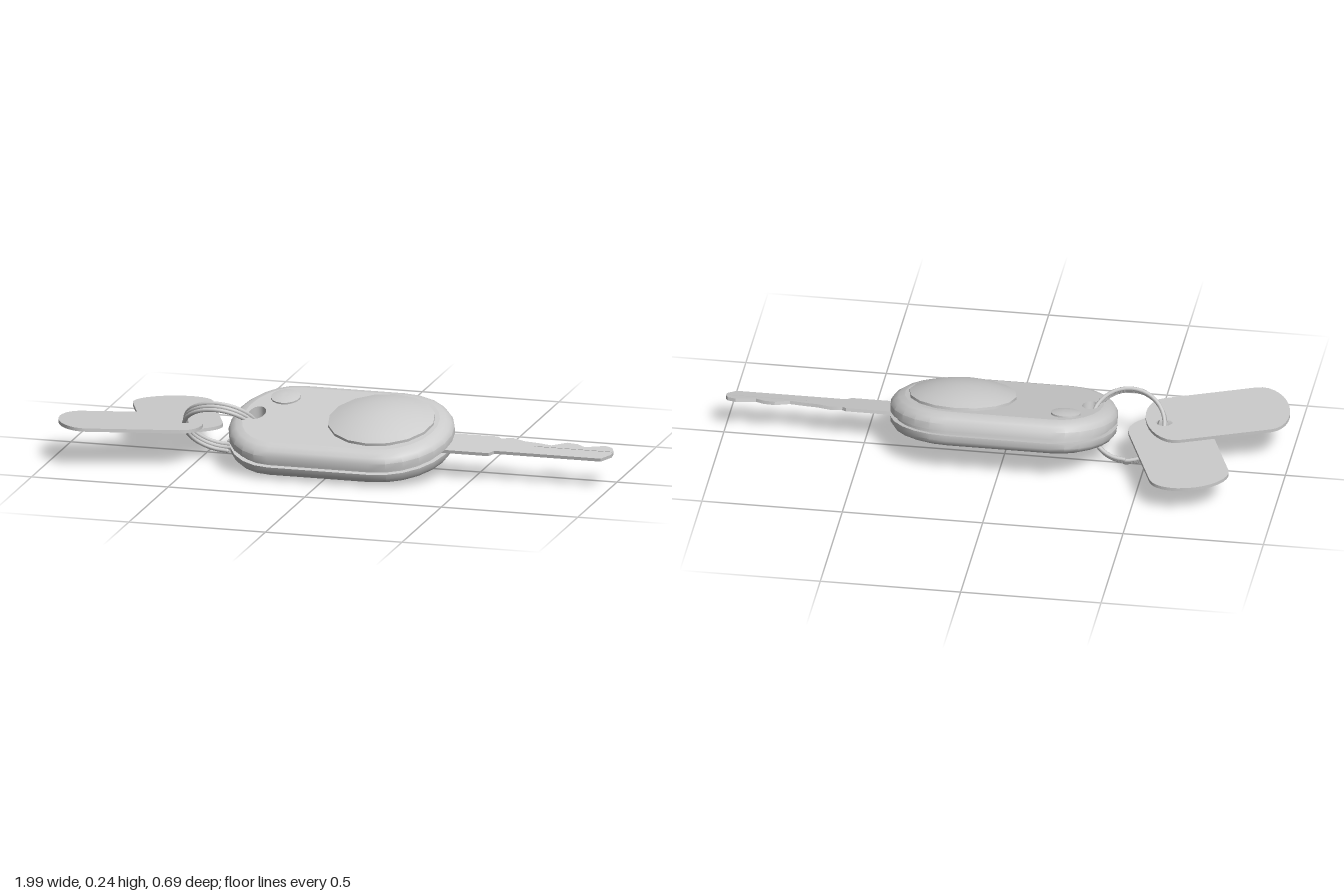
import * as THREE from 'three';
import { toCreasedNormals } from 'three/addons/utils/BufferGeometryUtils.js';

const material = new THREE.MeshStandardMaterial({ color: 0xcccccc });

function addMesh(parent, name, geometry) {
  const mesh = new THREE.Mesh(geometry, material);
  mesh.name = name;
  parent.add(mesh);
  return mesh;
}

// Closed oblong in plan: a straight middle with two half-ellipse ends, as [x, z] points
function oblong(xLeft, rxLeft, xRight, rxRight, rz, n) {
  const points = [];
  for (const [cx, rx, start] of [[xRight, rxRight, -0.5], [xLeft, rxLeft, 0.5]]) {
    for (let i = 0; i <= n; i++) {
      const a = Math.PI * (start + i / n);
      points.push([cx + rx * Math.cos(a), rz * Math.sin(a)]);
    }
  }
  return points;
}

// Wall through a stack of loops; faces outward when the loops rise, inward when they fall
function loft(loops) {
  const pos = [];
  for (let i = 0; i + 1 < loops.length; i++) {
    const lo = loops[i], up = loops[i + 1], n = lo.points.length;
    const at = (loop, j) => [loop.points[j % n][0], loop.y, loop.points[j % n][1]];
    for (let j = 0; j < n; j++) {
      pos.push(...at(lo, j), ...at(up, j), ...at(lo, j + 1));
      pos.push(...at(lo, j + 1), ...at(up, j), ...at(up, j + 1));
    }
  }
  const geometry = new THREE.BufferGeometry();
  geometry.setAttribute('position', new THREE.Float32BufferAttribute(pos, 3));
  return toCreasedNormals(geometry, 0.6);
}

const toShape = (points) => new THREE.Shape(points.map(([x, z]) => new THREE.Vector2(x, -z)));

// Flat plate lying in the xz plane, centred on its thickness
function plate(shape, thickness) {
  const geometry = new THREE.ExtrudeGeometry(shape, { depth: thickness, bevelEnabled: false, curveSegments: 16 });
  geometry.rotateX(-Math.PI / 2).translate(0, -thickness / 2, 0);
  return toCreasedNormals(geometry, 0.6);
}

// Fob shell: two rounded halves parted by a recessed seam, with a slot for the ring
function addFobBody(fob) {
  const profile = [ // [inset, height]
    [0.04, -0.06], [0.014, -0.05], [0.002, -0.034], [0, -0.014], [0.018, -0.014], [0.018, 0.003],
    [0, 0.003], [0, 0.028], [0.011, 0.045], [0.028, 0.056], [0.05, 0.061],
  ];
  const outline = (d) => oblong(-0.19, 0.2 - d, 0.18, 0.235 - d, 0.26 - d, 12);
  addMesh(fob, 'fobShell', loft(profile.map(([d, y]) => ({ points: outline(d), y }))));

  const slot = Array.from({ length: 20 }, (_, i) => {
    const a = (i / 20) * Math.PI * 2;
    return [-0.295 + 0.03 * Math.cos(a), 0.048 * Math.sin(a)];
  });
  for (const [name, [d, y], turn] of [['topFace', profile.at(-1), -1], ['bottomFace', profile[0], 1]]) {
    const shape = toShape(outline(d));
    shape.holes.push(toShape(slot));
    addMesh(fob, name, new THREE.ShapeGeometry(shape).rotateX(turn * Math.PI / 2).translate(0, y, 0));
  }
  addMesh(fob, 'ringSlot', loft([{ points: slot, y: 0.061 }, { points: slot, y: -0.06 }]));
}

// Shallow domed button with a low upright rim
function addButton(fob, name, radius, rim, height, x, z, sides) {
  const profile = [new THREE.Vector2(radius, -0.01), new THREE.Vector2(radius, rim)];
  for (let i = 1; i <= 6; i++) {
    const t = 1 - i / 6;
    profile.push(new THREE.Vector2(radius * t, rim + (height - rim) * (1 - t * t)));
  }
  const geometry = toCreasedNormals(new THREE.LatheGeometry(profile, sides), 0.5);
  addMesh(fob, name, geometry).position.set(x, 0.061, z);
}

// Key blade with a shoulder and cuts along one edge
function addKey(fob) {
  const edge = [
    [0.3, 0.125], [0.565, 0.125], [0.58, 0.105], [0.97, 0.105], [1, 0.07], [1, 0.045], [0.99, 0.022],
    [0.96, 0.01], [0.93, 0.02], [0.89, 0.03], [0.86, 0.013], [0.82, 0.008], [0.77, 0.035], [0.72, 0.026],
    [0.67, 0.02], [0.62, 0.003], [0.58, 0.012], [0.565, 0], [0.3, 0],
  ].map(([x, z]) => [x, (z - 0.064) / 0.974]);
  addMesh(fob, 'keyBlade', plate(toShape(edge), 0.012)).position.y = -0.005;
  addMesh(fob, 'bladeRib', new THREE.BoxGeometry(0.285, 0.015, 0.005)).position.set(0.855, -0.005, -0.014);
}

// Thin tag with rounded ends and a hole for the ring
function addTag(parent, name, position, rotation) {
  const shape = toShape(oblong(-0.165, 0.09, 0.165, 0.09, 0.1425, 14));
  const hole = new THREE.Path();
  hole.absarc(0.192, 0.008, 0.032, 0, Math.PI * 2, true);
  shape.holes.push(hole);
  const tag = addMesh(parent, name, plate(shape, 0.012));
  tag.position.set(...position);
  tag.rotation.set(...rotation);
}

// Split ring: a tight coil of three turns, leaning over
function addRing(parent) {
  const turns = 3, radius = 0.13, points = [];
  for (let i = 0; i <= turns * 24; i++) {
    const t = i / 24, a = t * Math.PI * 2;
    points.push(new THREE.Vector3(radius * Math.sin(a), -radius * Math.cos(a), (t - turns / 2) * 0.0135));
  }
  const ring = new THREE.Group();
  ring.name = 'keyRing';
  const curve = new THREE.CatmullRomCurve3(points);
  addMesh(ring, 'ringCoil', new THREE.TubeGeometry(curve, 120, 0.0075, 8, false));
  points.slice(0, 1).concat(points.slice(-1)).forEach((p) => {
    addMesh(ring, 'coilEnd', new THREE.SphereGeometry(0.0075, 8, 6)).position.copy(p);
  });
  ring.position.set(-0.43, 0.115, 0.067);
  ring.rotation.x = 0.76;
  parent.add(ring);
}

export function createModel() {
  const model = new THREE.Group();
  model.name = 'carKey';

  const fob = new THREE.Group();
  fob.name = 'fob';
  addFobBody(fob);
  addButton(fob, 'largeButton', 0.19, 0.01, 0.048, 0.16, -0.003, 16);
  addButton(fob, 'smallButton', 0.053, 0.006, 0.012, -0.225, -0.127, 16);
  addKey(fob);
  fob.position.set(0, 0.118, 0.064);
  fob.rotation.x = 0.227;
  model.add(fob);

  addRing(model);
  addTag(model, 'frontTag', [-0.735, 0.131, 0.158], [-0.04, 0.331, -0.02]);
  addTag(model, 'backTag', [-0.632, 0.106, -0.084], [-0.025, -1.19, 0]);
  return model;
}
